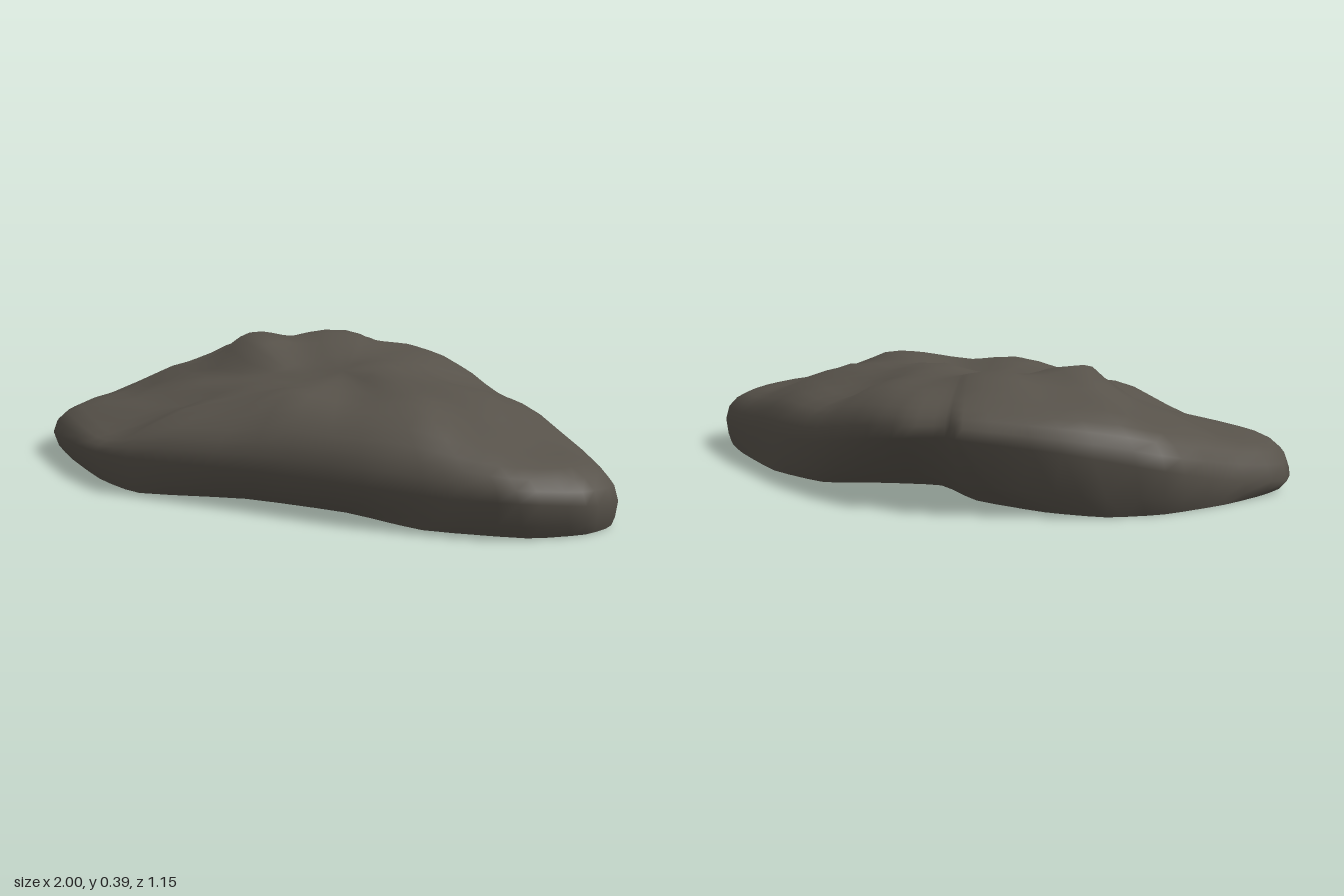
import * as THREE from 'three';
import { mergeVertices } from 'three/addons/utils/BufferGeometryUtils.js';

// Stations round the rock: foot x, z, then widest point x, y, z
const STATIONS = [
  [0.98, 0.08, 1, 0.08, 0.08], [0.95, 0.2, 0.97, 0.1, 0.24], [0.82, 0.32, 0.82, 0.12, 0.38],
  [0.52, 0.41, 0.62, 0.12, 0.44], [0.24, 0.38, 0.36, 0.13, 0.49], [-0.1, 0.42, 0, 0.13, 0.52],
  [-0.42, 0.54, -0.44, 0.12, 0.575], [-0.62, 0.48, -0.66, 0.1, 0.5], [-0.9, 0.3, -0.94, 0.07, 0.31],
  [-0.95, 0.13, -1, 0.04, 0.15], [-0.88, -0.08, -0.89, 0.08, -0.1], [-0.76, -0.28, -0.78, 0.14, -0.33],
  [-0.62, -0.39, -0.52, 0.2, -0.49], [-0.43, -0.41, -0.24, 0.23, -0.58], [-0.18, -0.36, -0.17, 0.23, -0.555],
  [0.01, -0.22, -0.04, 0.22, -0.58], [0.2, -0.27, 0.1, 0.2, -0.54], [0.37, -0.34, 0.35, 0.15, -0.43],
  [0.6, -0.26, 0.6, 0.12, -0.27], [0.84, -0.07, 0.85, 0.1, -0.08],
];

// Peaks, ridges and hollows of the top: x, y, z
const HEIGHTS = [
  [-0.39, 0.405, -0.08], [-0.2, 0.39, -0.3], [-0.5, 0.345, -0.3], [-0.65, 0.285, -0.1],
  [-0.75, 0.205, 0.15], [-0.5, 0.21, 0.3], [-0.6, 0.17, 0.43], [-0.42, 0.26, 0.12],
  [-0.2, 0.3, 0.08], [0, 0.345, 0.34], [-0.25, 0.28, 0.4], [-0.15, 0.29, 0.5],
  [0.4, 0.345, 0.28], [0.4, 0.33, 0], [0.12, 0.36, -0.05], [0.1, 0.35, -0.35],
  [0.6, 0.285, 0.15], [0.75, 0.225, 0.1], [0.86, 0.25, 0.2], [0.1, 0.3, 0.13],
  [0.35, 0.28, -0.25], [-0.1, 0.35, -0.45],
];

function heightAt(x, z) {
  let sum = 0, weight = 0;
  for (const [hx, hy, hz] of HEIGHTS) {
    const w = 1 / ((x - hx) ** 2 + (z - hz) ** 2 + 0.003) ** 1.6;
    sum += w * hy;
    weight += w;
  }
  return sum / weight;
}

const loop = (points) => new THREE.CatmullRomCurve3(points, true, 'catmullrom', 0.25);

export function createModel() {
  const group = new THREE.Group();
  group.name = 'rock';
  const stone = new THREE.MeshStandardMaterial({ color: 0x57524a });
  stone.name = 'dark stone';

  const count = 60;
  const foot = loop(STATIONS.map(([x, z]) => new THREE.Vector3(x, 0, z)));
  const girth = loop(STATIONS.map((s) => new THREE.Vector3(s[2], s[3], s[4])));
  const feet = [], girths = [];
  for (let i = 0; i < count; i++) {
    feet.push(foot.getPoint(i / count));
    girths.push(girth.getPoint(i / count));
  }

  // Overhang from the foot out towards the widest line
  const rings = [feet, feet.map((p, i) => {
    const q = p.clone().lerp(girths[i], 0.58);
    q.y = girths[i].y * 0.36;
    return q;
  })];
  // Shoulder and top, from the widest line in to the middle
  for (const s of [1, 0.985, 0.95, 0.9, 0.82, 0.72, 0.6, 0.48, 0.36, 0.24, 0.12, 0]) {
    const bulge = Math.sqrt(1 - s ** 5);
    rings.push(girths.map((p) => {
      const x = p.x * s, z = p.z * s;
      return new THREE.Vector3(x, THREE.MathUtils.lerp(p.y, heightAt(x, z), bulge), z);
    }));
  }
  const index = [];
  for (let r = 0; r < rings.length - 1; r++) {
    for (let i = 0; i < count; i++) {
      const j = (i + 1) % count;
      const a = r * count + i, b = r * count + j, c = a + count, d = b + count;
      index.push(a, c, b);
      if (r < rings.length - 2) index.push(b, c, d);
    }
  }
  let body = new THREE.BufferGeometry().setFromPoints(rings.flat());
  body.setIndex(index);
  body = mergeVertices(body, 1e-5);
  body.computeVertexNormals();
  const bodyMesh = new THREE.Mesh(body, stone);
  bodyMesh.name = 'rockBody';

  // Flat underside, kept separate for a crisp edge
  const shape = new THREE.Shape(feet.map((p) => new THREE.Vector2(p.x, p.z)));
  const under = new THREE.ShapeGeometry(shape).rotateX(Math.PI / 2);
  const underMesh = new THREE.Mesh(under, stone);
  underMesh.name = 'underside';

  group.add(bodyMesh, underMesh);
  return group;
}
